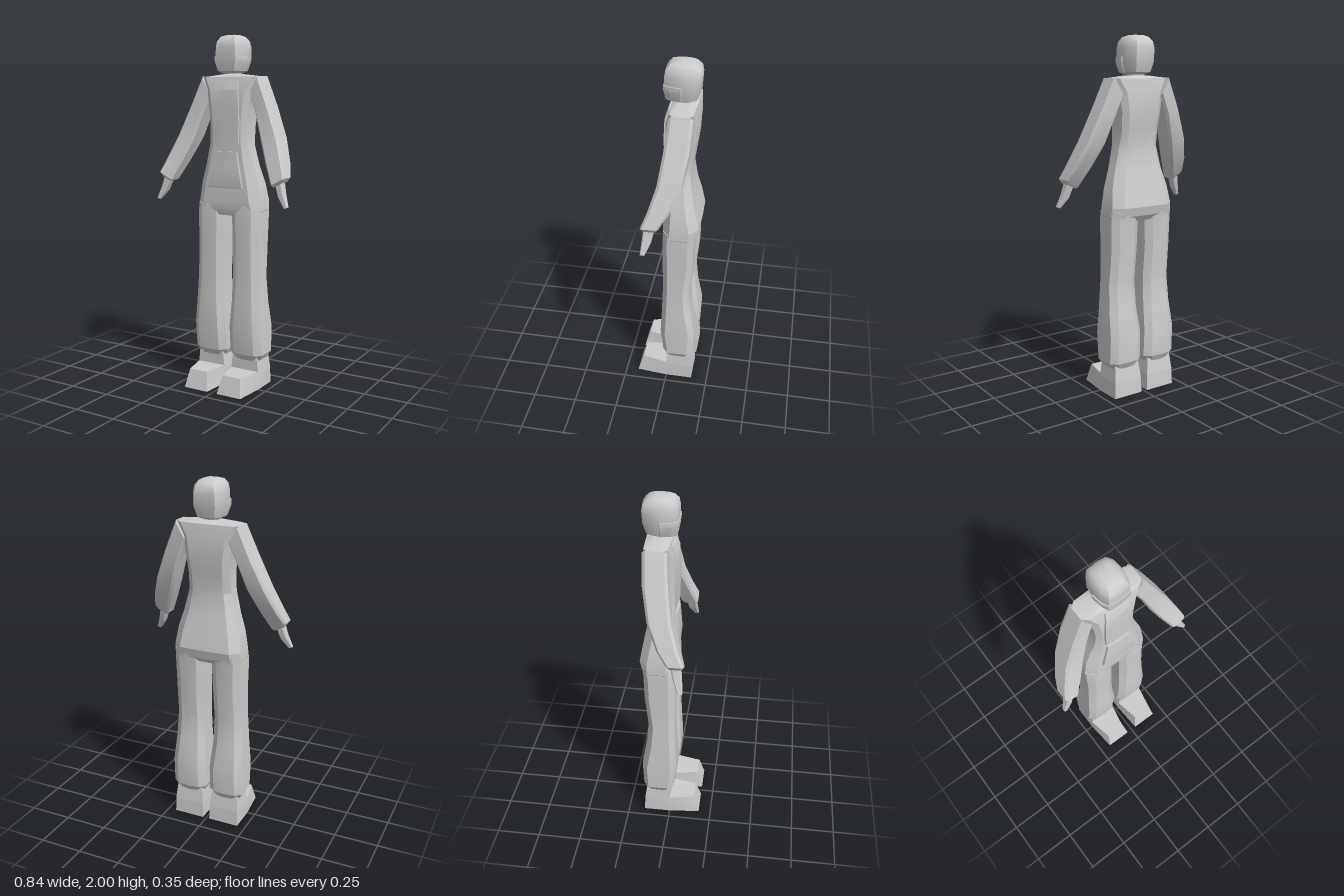
import * as THREE from 'three';
import { toCreasedNormals } from 'three/addons/utils/BufferGeometryUtils.js';

const grey = new THREE.MeshStandardMaterial({ color: 0xcccccc });
grey.name = 'light grey';

// Skin a closed solid through cross-sections with equal point counts; faces always point outward.
function loft(name, rings, crease = 0.3) {
  const n = rings[0].length;
  const tris = [];
  const centre = (r) => r.reduce((a, p) => a.add(p), new THREE.Vector3()).divideScalar(n);
  for (let i = 0; i < rings.length - 1; i++) {
    for (let j = 0; j < n; j++) {
      const k = (j + 1) % n;
      const [a, b, c, d] = [rings[i][j], rings[i][k], rings[i + 1][k], rings[i + 1][j]];
      tris.push([a, b, c], [a, c, d]);
    }
  }
  const first = rings[0], last = rings[rings.length - 1];
  const c0 = centre(first), c1 = centre(last);
  for (let j = 0; j < n; j++) {
    const k = (j + 1) % n;
    tris.push([c0, first[k], first[j]], [c1, last[j], last[k]]);
  }
  const mid = c0.clone().add(c1).multiplyScalar(0.5);
  let volume = 0;
  for (const t of tris) {
    const [a, b, c] = t.map((p) => p.clone().sub(mid));
    volume += a.dot(b.cross(c));
  }
  if (volume < 0) tris.forEach((t) => t.reverse());
  const geo = new THREE.BufferGeometry().setFromPoints(tris.flat());
  const mesh = new THREE.Mesh(toCreasedNormals(geo, crease), grey);
  mesh.name = name;
  return mesh;
}

// Chamfered cross-section with softly bowed front and back, as [x, z] pairs.
function section(x0, x1, zf, zb, c, bow = 0.006) {
  const m = (x0 + x1) / 2, d = Math.min(c, (zf - zb) * 0.4);
  return [
    [x0, zb + d], [x0, zf - d], [x0 + c, zf - bow], [m, zf], [x1 - c, zf - bow],
    [x1, zf - d], [x1, zb + d], [x1 - c, zb + bow], [m, zb], [x0 + c, zb + bow],
  ];
}
const level = (pts, y, s = 1) => pts.map(([x, z]) => new THREE.Vector3(s * x, y, z));

// Limb rings span from an outer to an inner edge point, so they can lean.
function limbRing([xo, yo, xi, yi, zf, zb], s, c) {
  return section(0, 1, 0, 1, c, 0).map(([u]) => u).map((u, j) => {
    const bevel = (zf - zb) * c;
    const z = [zb + bevel, zf - bevel, zf, zf, zf, zf - bevel, zb + bevel, zb, zb, zb][j];
    return new THREE.Vector3(s * (xo + (xi - xo) * u), yo + (yi - yo) * u, z);
  });
}

const headOutline = [[0, 1], [0.7, 0.96], [0.9, 0.6], [1, 0], [0.92, -0.6], [0.66, -0.94]];
function headRing([y, w, zf, zb], zMin = -1) {
  const m = (zf + zb) / 2, h = (zf - zb) / 2;
  const half = headOutline.map(([x, z]) => [x * w, Math.max(m + z * h, zMin)]);
  const other = half.slice(1).reverse().map(([x, z]) => [-x, z]);
  return level([...half, [0, Math.max(zb, zMin)], ...other], y);
}

// Raised cloth panel following the front of the torso.
function panel(name, rows) {
  return loft(name, rows.map(([y, w, z]) => level([
    [-w, z - 0.025], [-w, z - 0.005], [0, z], [w, z - 0.005], [w, z - 0.025],
  ], y)));
}

export function createModel() {
  const model = new THREE.Group();
  model.name = 'figure';

  // Torso: height, half width, front, back, corner bevel
  model.add(loft('torso', [
    [1.0, 0.185, 0.018, -0.14, 0.04],
    [1.03, 0.2, 0.028, -0.163, 0.045],
    [1.08, 0.198, 0.03, -0.176, 0.05],
    [1.18, 0.184, 0.026, -0.158, 0.05],
    [1.28, 0.155, 0.022, -0.135, 0.045],
    [1.4, 0.125, 0.02, -0.12, 0.035],
    [1.5, 0.119, 0.02, -0.135, 0.03],
    [1.6, 0.127, 0.022, -0.15, 0.03],
    [1.7, 0.145, 0.018, -0.15, 0.035],
    [1.772, 0.182, -0.005, -0.14, 0.03],
    [1.787, 0.055, -0.03, -0.105, 0.012],
  ].map(([y, w, zf, zb, c]) => level(section(-w, w, zf, zb, c), y))));

  // Bib and belly pocket
  model.add(panel('bib', [
    [1.405, 0.08, 0.032], [1.5, 0.083, 0.032], [1.6, 0.082, 0.034], [1.7, 0.076, 0.03], [1.752, 0.068, 0.012],
  ]));
  model.add(panel('pocket', [
    [1.155, 0.108, 0.038], [1.17, 0.107, 0.041], [1.26, 0.088, 0.037], [1.36, 0.07, 0.032],
  ]));

  // Neck, head and lower face mask
  model.add(loft('neck', [1.76, 1.83].map((y) => level(section(-0.042, 0.042, -0.03, -0.1, 0.015), y))));
  model.add(loft('head', [
    [1.792, 0.05, 0.005, -0.11],
    [1.805, 0.072, 0.022, -0.14],
    [1.86, 0.088, 0.032, -0.157],
    [1.93, 0.087, 0.032, -0.162],
    [1.965, 0.08, 0.026, -0.155],
    [1.99, 0.062, 0.003, -0.13],
    [2.0, 0.035, -0.03, -0.1],
  ].map((r) => headRing(r)), 0.7));
  model.add(loft('mask', [
    [1.803, 0.074, 0.025, -0.14],
    [1.86, 0.095, 0.036, -0.157],
    [1.885, 0.094, 0.036, -0.157],
  ].map((r) => headRing(r, -0.065)), 0.4));

  for (const s of [1, -1]) {
    const side = s > 0 ? 'left' : 'right';

    // Sleeve, gathered at the cuff: outer x y, inner x y, front, back
    model.add(loft(side + 'Sleeve', [
      [0.182, 1.775, 0.125, 1.68, -0.012, -0.138],
      [0.253, 1.61, 0.17, 1.57, 0.002, -0.13],
      [0.325, 1.44, 0.215, 1.43, 0.026, -0.1],
      [0.375, 1.31, 0.27, 1.3, 0.068, -0.045],
      [0.402, 1.235, 0.32, 1.192, 0.1, 0.01],
      [0.388, 1.212, 0.332, 1.183, 0.09, 0.022],
    ].map((r) => limbRing(r, s, 0.12))));

    // Tapered hand
    model.add(loft(side + 'Hand', [
      [0.378, 1.215, 0.338, 1.2, 0.085, 0.03],
      [0.394, 1.15, 0.362, 1.13, 0.092, 0.045],
      [0.421, 1.082, 0.402, 1.074, 0.098, 0.073],
    ].map((r) => limbRing(r, s, 0.15))));

    // Trouser leg: height, inner x, outer x, front, back
    model.add(loft(side + 'Leg', [
      [1.06, 0.03, 0.196, 0.026, -0.165],
      [1.0, 0.024, 0.2, 0.03, -0.155],
      [0.85, 0.028, 0.196, 0.03, -0.152],
      [0.65, 0.03, 0.2, 0.03, -0.131],
      [0.5, 0.026, 0.207, 0.035, -0.143],
      [0.35, 0.015, 0.216, 0.042, -0.17],
      [0.2, 0.013, 0.217, 0.026, -0.163],
      [0.165, 0.03, 0.196, 0.008, -0.145],
    ].map(([y, xi, xo, zf, zb]) => level(section(xi, xo, zf, zb, 0.036), y, s))));

    // Boot: ankle block and wedge-toed shoe
    model.add(loft(side + 'Ankle', [
      level([[0.022, -0.152], [0.022, 0], [0.2, 0], [0.2, -0.152]], 0.09, s),
      level([[0.034, -0.138], [0.034, 0], [0.19, 0], [0.19, -0.138]], 0.19, s),
    ]));
    model.add(loft(side + 'Shoe', [
      level([[0.02, -0.155], [0.02, 0], [0.032, 0.178], [0.184, 0.178], [0.202, 0], [0.202, -0.155]], 0, s),
      level([[0.024, -0.15], [0.024, 0], [0.052, 0.146], [0.167, 0.146], [0.198, 0], [0.198, -0.15]], 0.105, s),
    ]));
  }
  return model;
}
